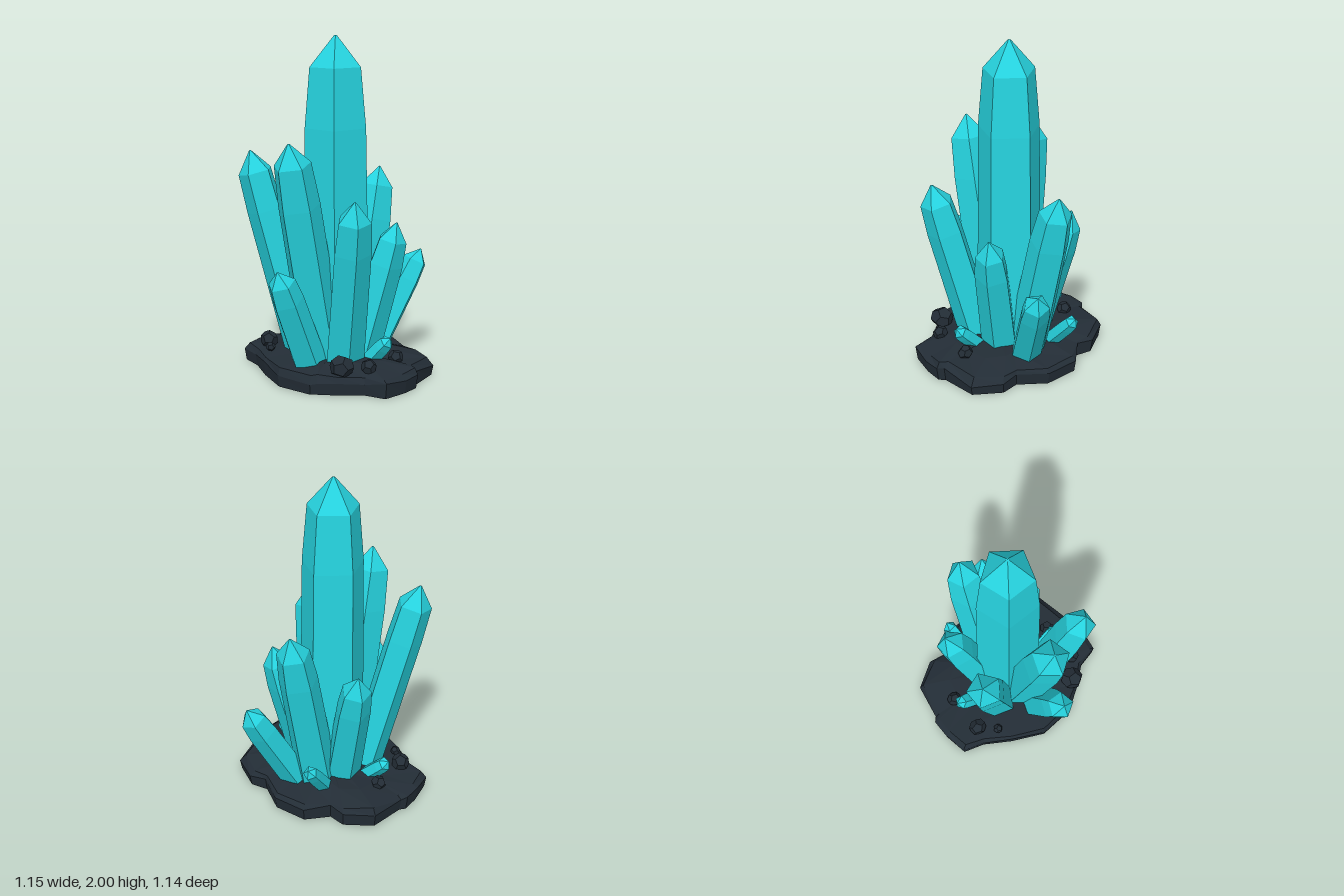
import * as THREE from 'three';

const crystalMat = new THREE.MeshStandardMaterial({ color: 0x26d4e0 });
crystalMat.name = 'turquoise crystal';
const rockMat = new THREE.MeshStandardMaterial({ color: 0x232d36, side: THREE.DoubleSide });
rockMat.name = 'dark rock';

// Small seeded generator for the uneven stone
let seed = 7;
const rand = () => (seed = (seed * 16807) % 2147483647) / 2147483647;

function faceted(geometry) {
  const g = geometry.index ? geometry.toNonIndexed() : geometry;
  g.computeVertexNormals();
  return g;
}

// Open-bottomed five-sided crystal from its foot to its tip, one ridge facing outward
function crystal(name, foot, tip, rFoot, rTop, tipLength, turn) {
  const a = new THREE.Vector3(...foot), b = new THREE.Vector3(...tip);
  const dir = b.clone().sub(a).normalize();
  a.addScaledVector(dir, (0.07 - a.y) / dir.y);
  const len = a.distanceTo(b);
  const shoulder = len - tipLength;
  const profile = [
    [rFoot, 0], [rFoot * 0.45 + rTop * 0.6, shoulder * 0.8], [rTop, shoulder], [rTop * 0.06, len - 0.003], [0, len],
  ].map(([r, y]) => new THREE.Vector2(r, y));
  const g = new THREE.LatheGeometry(profile, 5);
  g.rotateY(turn ?? Math.atan2(dir.x, dir.z));
  const mesh = new THREE.Mesh(faceted(g), crystalMat);
  mesh.name = name;
  mesh.quaternion.setFromUnitVectors(new THREE.Vector3(0, 1, 0), dir);
  mesh.position.copy(a);
  return mesh;
}

// Hollow rock slab: rings of the outline, stacked and drawn in to the middle
function rockBase() {
  const outline = [
    [-0.13, -0.475], [-0.245, -0.36], [-0.35, -0.38], [-0.51, -0.28], [-0.55, -0.06], [-0.577, -0.03],
    [-0.577, 0.08], [-0.55, 0.23], [-0.42, 0.27], [-0.26, 0.37], [-0.06, 0.465], [0.17, 0.45], [0.2, 0.425],
    [0.3, 0.36], [0.42, 0.26], [0.55, 0.23], [0.577, 0.08], [0.577, -0.03], [0.545, -0.06], [0.51, -0.28],
    [0.35, -0.38], [0.24, -0.365], [0.08, -0.475],
  ];
  // height, scale, unevenness
  const levels = [[0, 0.98, 0], [0.075, 1, 0.02], [0.11, 0.95, 0.015], [0.13, 0.65, 0.015], [0.135, 0.3, 0.005]];
  const rings = levels.map(([y, s, j]) => outline.map(([x, z]) => {
    const k = s * (s < 0.99 && j ? 1 + (rand() - 0.5) * 0.05 : 1);
    return [x * k, y + (rand() - 0.5) * j * 2, z * k];
  }));
  const n = outline.length, pos = [];
  for (let i = 0; i < n; i++) {
    const j = (i + 1) % n;
    for (let r = 0; r < rings.length - 1; r++) {
      const lo = rings[r], hi = rings[r + 1];
      pos.push(...lo[i], ...lo[j], ...hi[i], ...lo[j], ...hi[j], ...hi[i]);
    }
    const top = rings[rings.length - 1];
    pos.push(...top[i], ...top[j], 0, 0.14, 0);
  }
  const g = new THREE.BufferGeometry();
  g.setAttribute('position', new THREE.Float32BufferAttribute(pos, 3));
  const mesh = new THREE.Mesh(faceted(g), rockMat);
  mesh.name = 'rockBase';
  return mesh;
}

export function createModel() {
  const model = new THREE.Group();
  model.name = 'crystalCluster';
  model.add(rockBase());

  // Tall central crystal and the ring around it
  const crystals = [
    ['mainCrystal', [0, 0.1, 0], [-0.005, 2, 0.01], 0.207, 0.155, 0.18, Math.PI],
    ['frontCrystal', [0, 0.14, 0.14], [-0.005, 1.42, 0.42], 0.135, 0.112, 0.13],
    ['frontRightCrystal', [-0.17, 0.14, 0.12], [-0.415, 1.33, 0.3], 0.11, 0.104, 0.13],
    ['frontLeftCrystal', [0.16, 0.14, 0.13], [0.36, 1.115, 0.28], 0.118, 0.1, 0.12],
    ['shortFrontCrystal', [0.02, 0.14, 0.29], [0.008, 0.71, 0.535], 0.105, 0.082, 0.08],
    ['backCrystal', [-0.01, 0.14, -0.18], [-0.015, 1.185, -0.425], 0.13, 0.1, 0.12],
    ['backLeftCrystal', [0.13, 0.14, -0.07], [0.3, 0.915, -0.185], 0.115, 0.088, 0.11],
    ['backRightCrystal', [-0.13, 0.14, -0.07], [-0.32, 0.915, -0.19], 0.115, 0.09, 0.11],
    ['shortBackCrystal', [0.09, 0.14, -0.27], [0.225, 0.68, -0.535], 0.095, 0.078, 0.08],
    ['smallBackCrystal', [-0.12, 0.12, -0.25], [-0.145, 0.35, -0.445], 0.05, 0.044, 0.04],
    ['smallRightCrystal', [-0.27, 0.12, 0.01], [-0.415, 0.265, 0.005], 0.05, 0.044, 0.04],
    ['smallLeftCrystal', [0.26, 0.12, 0.01], [0.405, 0.275, 0.005], 0.05, 0.044, 0.04],
  ];
  for (const c of crystals) model.add(crystal(...c));

  // Loose pebbles on the slab: x, y, z, radius
  const pebbles = [
    [0.29, 0.16, 0.31, 0.073], [0.39, 0.15, 0.19, 0.047], [-0.39, 0.15, 0.18, 0.057],
    [-0.295, 0.145, 0.27, 0.03], [0.39, 0.14, -0.065, 0.047], [-0.39, 0.14, -0.065, 0.047],
  ];
  pebbles.forEach(([x, y, z, r], i) => {
    const mesh = new THREE.Mesh(faceted(new THREE.DodecahedronGeometry(r)), rockMat);
    mesh.name = 'pebble' + (i + 1);
    mesh.position.set(x, y, z);
    mesh.rotation.set(i, i * 2, 0);
    mesh.scale.y = 0.9;
    model.add(mesh);
  });
  return model;
}
